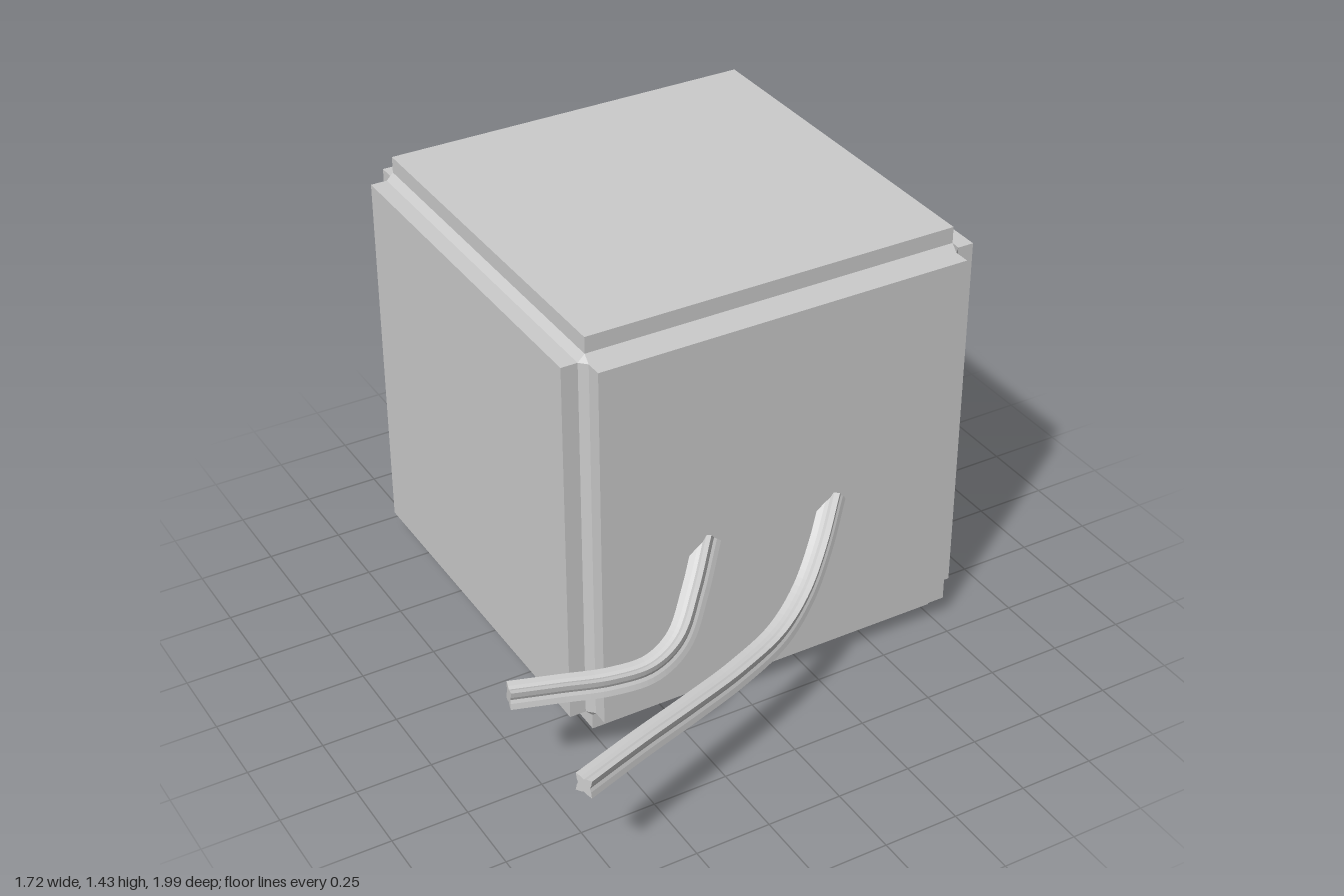
import * as THREE from 'three';
import { ConvexGeometry } from 'three/addons/geometries/ConvexGeometry.js';

const OUTER = 0.713; // centre to plate face
const PLATE = 0.635; // half width of a plate
const CORE = 0.658;  // centre to core face, under the plates

export function createModel() {
  const model = new THREE.Group();
  const material = new THREE.MeshStandardMaterial({ color: 0xcccccc });

  const add = (parent, name, geometry) => {
    const mesh = new THREE.Mesh(geometry, material);
    mesh.name = name;
    parent.add(mesh);
    return mesh;
  };

  const cube = new THREE.Group();
  cube.name = 'cube';
  cube.position.set(0.145, OUTER, -0.287);
  model.add(cube);

  // Core with chamfered edges and corners, seen in the grooves between plates
  const corners = [];
  for (const x of [-1, 1]) for (const y of [-1, 1]) for (const z of [-1, 1]) {
    corners.push(
      new THREE.Vector3(x * CORE, y * PLATE, z * PLATE),
      new THREE.Vector3(x * PLATE, y * CORE, z * PLATE),
      new THREE.Vector3(x * PLATE, y * PLATE, z * CORE));
  }
  add(cube, 'chamferedCore', new ConvexGeometry(corners));

  // Six raised square face plates
  const depth = OUTER - PLATE;
  const plates = { left: [1, 0, 0], right: [-1, 0, 0], top: [0, 1, 0], bottom: [0, -1, 0], front: [0, 0, 1], back: [0, 0, -1] };
  for (const [side, axis] of Object.entries(plates)) {
    const size = axis.map((a) => (a ? depth : 2 * PLATE));
    const plate = add(cube, side + 'Plate', new THREE.BoxGeometry(...size));
    plate.position.set(...axis).multiplyScalar(PLATE + depth / 2);
  }

  // Four-pointed cable section with concave sides
  const section = new THREE.Shape();
  for (let i = 0; i < 16; i++) {
    const angle = Math.PI / 4 + (i / 16) * Math.PI * 2;
    const r = [0.043, 0.029, 0.022, 0.029][i % 4];
    const x = r * Math.cos(angle), y = r * Math.sin(angle);
    if (i === 0) section.moveTo(x, y);
    else section.lineTo(x, y);
  }
  section.closePath();

  // Curved cables, from the free end to the front plate
  const cables = {
    longCable: [[-0.85, 0.39, 0.965], [-0.62, 0.382, 0.88], [-0.4, 0.369, 0.8], [-0.2, 0.361, 0.725],
      [0, 0.373, 0.64], [0.14, 0.426, 0.56], [0.25, 0.52, 0.482], [0.34, 0.638, 0.41]],
    shortCable: [[-0.85, 0.39, 0.505], [-0.7, 0.383, 0.545], [-0.55, 0.377, 0.585], [-0.42, 0.386, 0.6],
      [-0.31, 0.428, 0.571], [-0.21, 0.52, 0.495], [-0.115, 0.638, 0.41]],
  };
  for (const [name, points] of Object.entries(cables)) {
    const path = new THREE.CatmullRomCurve3(points.map((p) => new THREE.Vector3(...p)));
    add(model, name, new THREE.ExtrudeGeometry(section, { steps: 48, extrudePath: path, bevelEnabled: false }));
  }

  return model;
}
